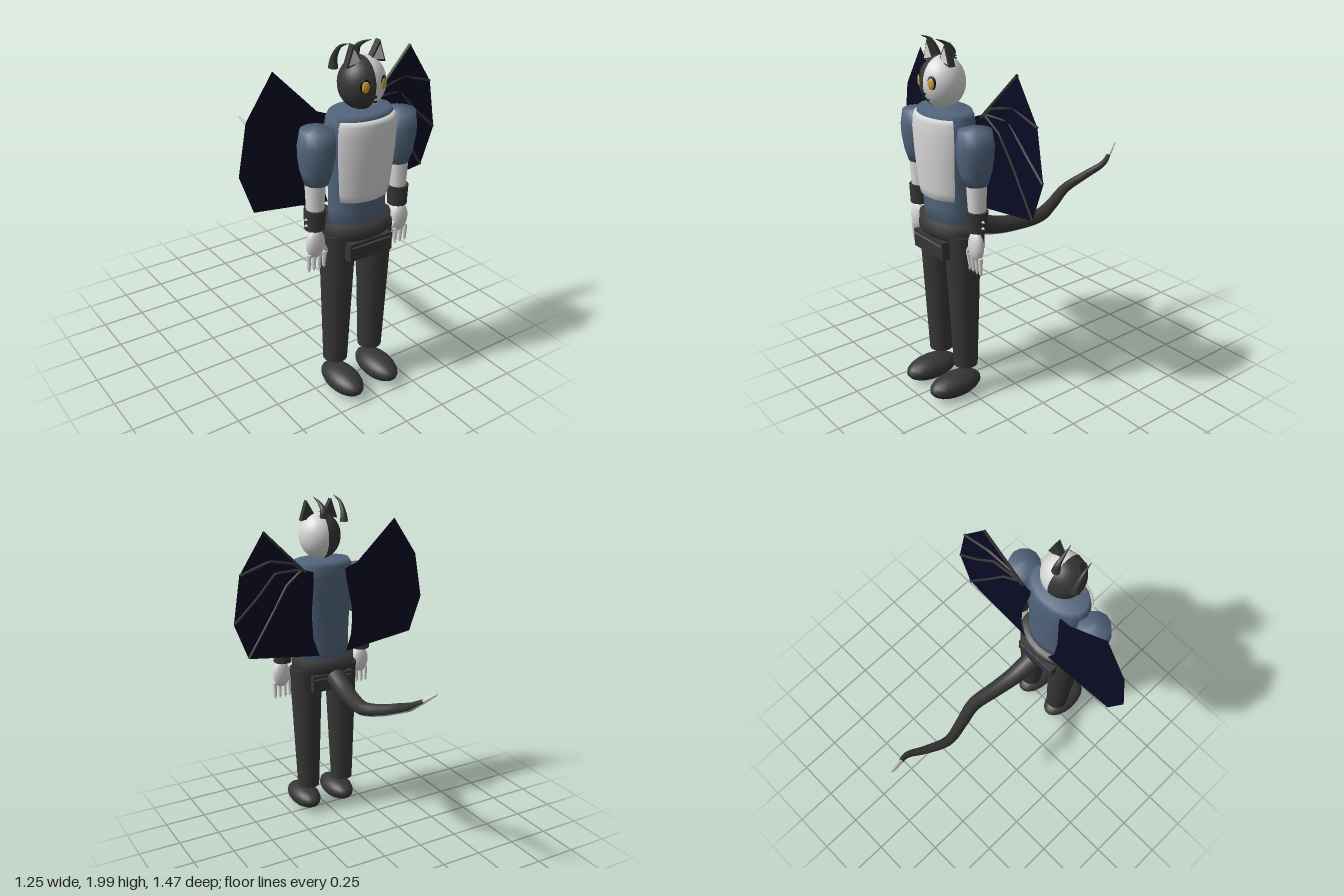
import * as THREE from 'three';
import { ParametricGeometry } from 'three/addons/geometries/ParametricGeometry.js';

const material = (name, color, side = THREE.FrontSide) =>
  Object.assign(new THREE.MeshStandardMaterial({ color, side }), { name });

export function createModel() {
  const model = new THREE.Group();
  const dark = material('charcoal', 0x363636, THREE.DoubleSide);
  const white = material('white', 0xd8d8d8, THREE.DoubleSide);
  const blue = material('slate blue', 0x52657d);
  const navy = material('midnight navy', 0x0a0a24, THREE.DoubleSide);
  const gold = material('gold', 0xc9a136);
  const black = material('black', 0x0a0a0a);

  const add = (name, geometry, mat, x = 0, y = 0, z = 0) => {
    const mesh = new THREE.Mesh(geometry, mat);
    mesh.name = name;
    mesh.position.set(x, y, z);
    model.add(mesh);
    return mesh;
  };
  const ball = (name, mat, p, r, w = 16, h = 12) => {
    const mesh = add(name, new THREE.SphereGeometry(1, w, h), mat, ...p);
    mesh.scale.set(...r);
    return mesh;
  };
  // Turned shape from [radius, height] pairs, listed bottom to top
  const turned = (name, mat, profile, x, z, depth = 1, segments = 16, start = 0, sweep = Math.PI * 2) => {
    const points = profile.map(([r, y]) => new THREE.Vector2(r, y));
    const mesh = add(name, new THREE.LatheGeometry(points, segments, start, sweep), mat, x, 0, z);
    mesh.scale.z = depth;
    return mesh;
  };
  // Round tapering sweep along a curve, between two angles and two fractions of its length
  const sweep = (name, mat, curve, radius, a0, a1, t0, t1, segments, rings) => {
    const sideways = new THREE.Vector3(1, 0, 0);
    const geometry = new ParametricGeometry((u, v, out) => {
      const t = t0 + (t1 - t0) * v, a = a1 + (a0 - a1) * u;
      const tangent = curve.getTangent(t);
      const side = sideways.clone().addScaledVector(tangent, -tangent.x).normalize();
      const up = side.clone().cross(tangent);
      if (up.y < 0) up.negate();
      out.copy(curve.getPoint(t))
        .addScaledVector(side, Math.cos(a) * radius(t))
        .addScaledVector(up, Math.sin(a) * radius(t));
    }, segments, rings);
    return add(name, geometry, mat);
  };
  const path = (points) => new THREE.CatmullRomCurve3(points.map((p) => new THREE.Vector3(...p)));

  // Head in two coloured halves
  [['rightHeadHalf', dark, -Math.PI / 2], ['leftHeadHalf', white, Math.PI / 2]].forEach(([name, mat, start]) => {
    const half = add(name, new THREE.SphereGeometry(1, 14, 20, start, Math.PI), mat, 0, 1.777, 0.516);
    half.scale.set(0.125, 0.137, 0.118);
  });

  // Face
  for (const s of [-1, 1]) {
    const rim = ball('eyeRim', black, [s * 0.055, 1.79, 0.616], [0.026, 0.037, 0.008]);
    const eye = ball('eye', gold, [s * 0.054, 1.787, 0.619], [0.021, 0.031, 0.01]);
    rim.rotation.y = eye.rotation.y = s * 0.42;
  }
  ball('nose', black, [0, 1.73, 0.626], [0.012, 0.008, 0.008]);
  ball('mouth', black, [0.008, 1.698, 0.614], [0.018, 0.004, 0.006]);

  // Ears: dark shell with a pale inner plate
  for (const s of [-1, 1]) {
    const outline = new THREE.Shape([[0.025, 1.89], [0.118, 1.87], [0.08, 1.985]]
      .map(([x, y]) => new THREE.Vector2(s * x, y)));
    add('ear', new THREE.ExtrudeGeometry(outline, { depth: 0.035, bevelEnabled: false }), dark, 0, 0, 0.515);
    const inner = new THREE.Shape([[0.036, 1.895], [0.107, 1.882], [0.079, 1.966]]
      .map(([x, y]) => new THREE.Vector2(s * x, y)));
    add('innerEar', new THREE.ShapeGeometry(inner), white, 0, 0, 0.553);
  }

  // Curved horns
  for (const x of [-0.13, 0.005]) {
    const drop = x < -0.1 ? 0.03 : 0;
    const curve = path([[x, 1.885 - drop, 0.455], [x, 1.935 - drop, 0.46], [x + 0.004, 1.97, 0.5], [x + 0.012, 1.998, 0.56]]);
    sweep('horn', dark, curve, (t) => 0.025 * (1 - t) + 0.001, 0, Math.PI * 2, 0, 1, 8, 10);
  }

  // Torso and chest plate
  turned('torso', blue, [[0, 0.98], [0.168, 0.98], [0.168, 1.12], [0.172, 1.25], [0.19, 1.42], [0.2, 1.55],
    [0.192, 1.61], [0.175, 1.64], [0, 1.642]], 0, 0.505, 0.66, 20);
  turned('chestPlate', white, [[0.15, 1.17], [0.176, 1.175], [0.187, 1.22], [0.205, 1.4], [0.212, 1.53],
    [0.205, 1.59], [0.195, 1.612], [0.15, 1.612]], 0, 0.505, 0.73, 14, -1.06, 2.12);

  // Hips with front and back cloth panels
  turned('hips', dark, [[0, 0.93], [0.19, 0.94], [0.205, 0.98], [0.203, 1.045], [0, 1.05]], 0, 0.505, 0.66, 18);
  for (const s of [-1, 1]) {
    add('clothPanel', new THREE.BoxGeometry(0.27, 0.1, 0.05), dark, 0, 0.905, 0.505 + s * 0.112);
    add('panelTrim', new THREE.BoxGeometry(0.25, 0.008, 0.008), blue, 0, 0.933, 0.505 + s * 0.136);
  }

  for (const s of [-1, 1]) {
    // Legs and feet
    const leg = add('leg', new THREE.CylinderGeometry(0.1, 0.068, 0.8, 16), dark, s * 0.12, 0.58, 0.502);
    leg.geometry.translate(0, 0, 0);
    ball('ankle', white, [s * 0.12, 0.181, 0.49], [0.03, 0.006, 0.03], 10, 6);
    ball('foot', dark, [s * 0.12, 0.072, 0.575], [0.09, 0.068, 0.162], 18, 14);

    // Arms and cuffs
    turned('sleeve', blue, [[0, 1.29], [0.064, 1.29], [0.085, 1.36], [0.097, 1.44], [0.098, 1.5], [0.086, 1.578],
      [0, 1.588]], s * 0.258, 0.505, 1, 12);
    add('forearm', new THREE.CylinderGeometry(0.055, 0.045, 0.2, 12), white, s * 0.267, 1.21, 0.508);
    add('cuff', new THREE.CylinderGeometry(0.058, 0.054, 0.11, 12), dark, s * 0.27, 1.095, 0.51);
    for (const y of [1.07, 1.105]) {
      const stud = add('cuffStud', new THREE.ConeGeometry(0.009, 0.02, 8), white, s * 0.332, y, 0.515);
      stud.rotation.z = -s * Math.PI / 2;
    }

    // Hands
    ball('palm', white, [s * 0.275, 0.958, 0.525], [0.055, 0.083, 0.034]);
    [0.222, 0.252, 0.286, 0.318].forEach((x, i) => {
      const finger = add('finger', new THREE.CylinderGeometry(0.013, 0.009, 0.09, 8), white, s * x, 0.858, 0.53);
      finger.rotation.x = 0.12 - i * 0.04;
      const tip = add('fingertip', new THREE.ConeGeometry(0.009, 0.02, 8), white, s * x, 0.808, 0.53);
      tip.rotation.x = Math.PI;
    });
    const thumb = ball('thumb', white, [s * 0.224, 0.925, 0.535], [0.012, 0.042, 0.013], 8, 8);
    thumb.rotation.z = s * -0.5;
  }

  // Wings: flat membranes bent slightly forward at the shoulder
  const wingDepth = (x, y) =>
    0.37 + 0.1 * Math.max(0, 0.4 - Math.abs(x)) * THREE.MathUtils.clamp((y - 1.3) / 0.3, 0, 1);
  const outline = [[0.1, 1.59], [0.18, 1.62], [0.425, 1.865], [0.578, 1.635], [0.625, 1.36], [0.545, 1.145],
    [0.09, 1.085], [0.13, 1.2], [0.135, 1.35]];
  for (const s of [-1, 1]) {
    const geometry = new THREE.ShapeGeometry(new THREE.Shape(outline.map(([x, y]) => new THREE.Vector2(s * x, y))));
    const p = geometry.attributes.position;
    for (let i = 0; i < p.count; i++) p.setZ(i, wingDepth(p.getX(i), p.getY(i)));
    geometry.computeVertexNormals();
    add(s > 0 ? 'leftWing' : 'rightWing', geometry, navy);
  }
  // Wing ribs fanning out from the shoulder
  const ribs = [
    [[0.16, 1.6], [0.425, 1.862]],
    [[0.16, 1.6], [0.24, 1.66], [0.39, 1.695], [0.576, 1.635]],
    [[0.18, 1.62], [0.36, 1.62], [0.48, 1.49], [0.62, 1.362]],
    [[0.18, 1.62], [0.29, 1.54], [0.4, 1.37], [0.543, 1.148]],
  ];
  for (const rib of ribs) {
    const curve = new THREE.CurvePath();
    const points = rib.map(([x, y]) => new THREE.Vector3(x, y, wingDepth(x, y)));
    for (let i = 1; i < points.length; i++) curve.add(new THREE.LineCurve3(points[i - 1], points[i]));
    add('wingRib', new THREE.TubeGeometry(curve, 18, 0.008, 6), dark);
  }

  // Tail with pale underside and tip
  const tail = path([[0, 0.942, 0.33], [0.012, 0.905, 0.2], [0.03, 0.893, 0.08], [0.05, 0.9, -0.09], [0.012, 0.93, -0.22],
    [-0.028, 0.985, -0.36], [0.005, 1.05, -0.5], [0.04, 1.105, -0.6], [0.025, 1.145, -0.66], [0, 1.2, -0.73]]);
  const tailRadius = (t) => 0.06 - 0.053 * Math.pow(t, 0.9);
  const q = Math.PI / 4;
  sweep('tailBack', dark, tail, tailRadius, -q, 5 * q, 0, 0.88, 12, 44);
  sweep('tailUnderside', white, tail, tailRadius, 5 * q, 7 * q, 0, 0.88, 5, 44);
  sweep('tailTip', white, tail, tailRadius, 0, 8 * q, 0.88, 1, 12, 8);
  const root = add('tailRoot', new THREE.CircleGeometry(0.059, 16), dark, 0, 0.942, 0.33);
  root.lookAt(root.position.clone().sub(tail.getTangent(0)));

  return model;
}
